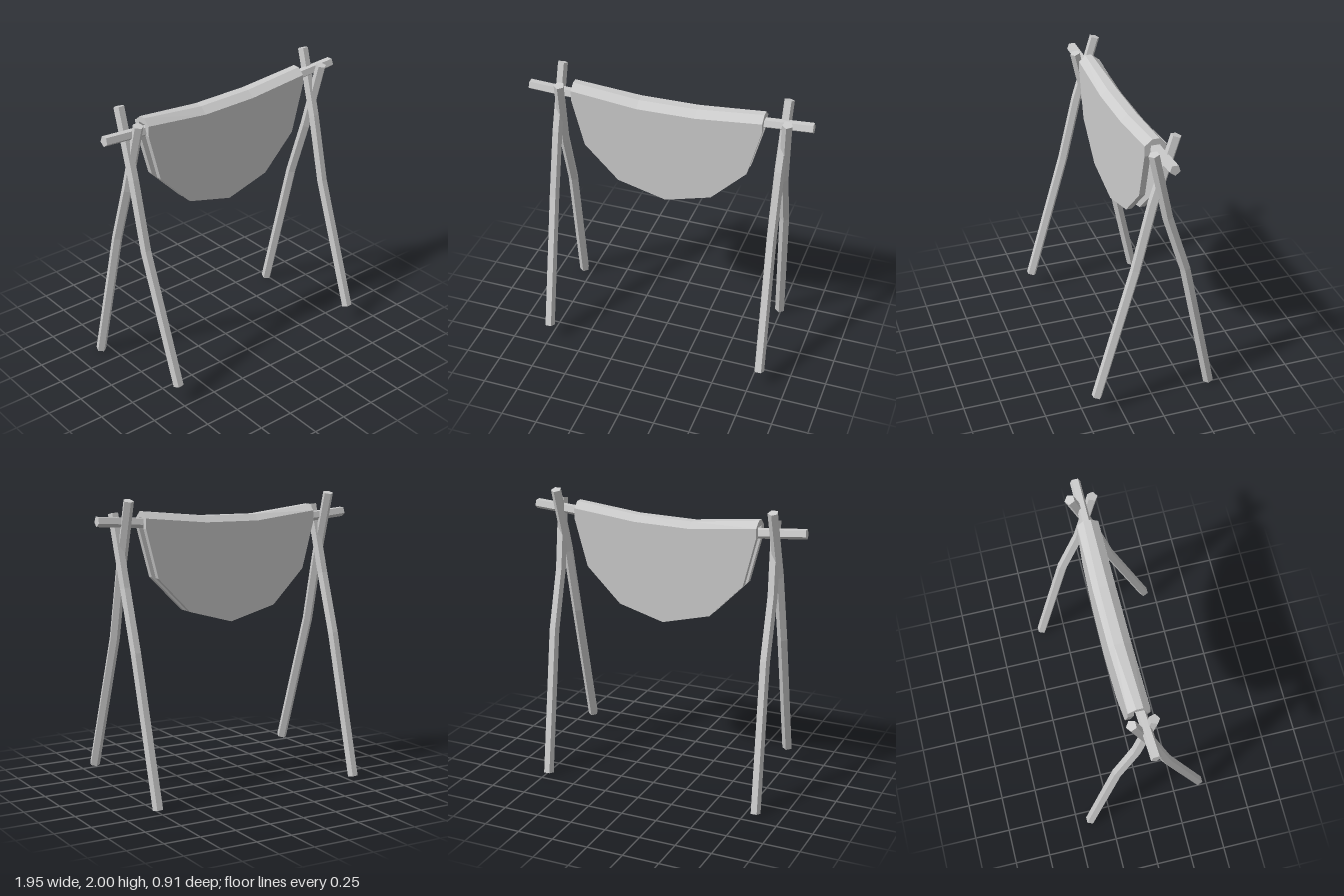
import * as THREE from 'three';

const material = new THREE.MeshStandardMaterial({ color: 0xcccccc, flatShading: true });

// Closed solid skinned through convex rings that turn counter-clockwise about the path
function loft(rings) {
  const pos = [];
  const tri = (a, b, c) => pos.push(...a.toArray(), ...b.toArray(), ...c.toArray());
  const n = rings[0].length;
  for (let r = 0; r < rings.length - 1; r++) {
    const a = rings[r], b = rings[r + 1];
    for (let i = 0; i < n; i++) {
      const j = (i + 1) % n;
      tri(a[i], a[j], b[j]);
      tri(a[i], b[j], b[i]);
    }
  }
  const first = rings[0], last = rings[rings.length - 1];
  for (let i = 1; i < n - 1; i++) {
    tri(first[0], first[i + 1], first[i]);
    tri(last[0], last[i], last[i + 1]);
  }
  const geometry = new THREE.BufferGeometry();
  geometry.setAttribute('position', new THREE.Float32BufferAttribute(pos, 3));
  geometry.computeVertexNormals();
  return geometry;
}

// Bent five-sided pole along a list of points
function pole(name, path, radius, side, phase) {
  const pts = path.map(p => new THREE.Vector3(...p));
  const rings = pts.map((p, k) => {
    const t = pts[Math.min(k + 1, pts.length - 1)].clone().sub(pts[Math.max(k - 1, 0)]).normalize();
    const u = side.clone().addScaledVector(t, -side.dot(t)).normalize();
    const v = t.clone().cross(u);
    return Array.from({ length: 5 }, (_, i) => {
      const a = phase + i * Math.PI * 2 / 5;
      return p.clone().addScaledVector(u, radius * Math.cos(a)).addScaledVector(v, radius * Math.sin(a));
    });
  });
  return part(name, loft(rings));
}

function part(name, geometry) {
  const mesh = new THREE.Mesh(geometry, material);
  mesh.name = name;
  return mesh;
}

// Two crossed legs, standing around x = 0
function trestle(name) {
  const group = new THREE.Group();
  group.name = name;
  const xAxis = new THREE.Vector3(1, 0, 0);
  group.add(
    pole('frontLeg', [[0.035, 0.13, 0.42], [0, 1.06, 0.14], [0, 1.53, 0.03], [0.005, 1.99, -0.11]], 0.036, xAxis, Math.PI / 2),
    pole('backLeg', [[-0.035, 0.01, -0.41], [0.005, 1.01, -0.195], [0.012, 1.42, -0.065], [0.04, 1.9, 0.045]], 0.036, xAxis, -Math.PI / 2));
  return group;
}

// Half of the hide: a thick plate hanging below the crease line
function flap(name, zOuter, depth, lean) {
  const outline = [[-0.66, 1.87], [-0.66, 1.8], [-0.575, 1.47], [-0.34, 1.23], [0, 1.14],
    [0.32, 1.23], [0.56, 1.47], [0.65, 1.8], [0.65, 1.87], [0.2, 1.825], [-0.2, 1.82]];
  const shape = new THREE.Shape(outline.map(p => new THREE.Vector2(...p)));
  const geometry = new THREE.ExtrudeGeometry(shape, { depth, bevelEnabled: false });
  const p = geometry.attributes.position;
  for (let i = 0; i < p.count; i++) {
    p.setZ(i, p.getZ(i) + zOuter - 0.012 * p.getX(i) + lean * (1.87 - p.getY(i)));
  }
  geometry.computeVertexNormals();
  return part(name, geometry);
}

export function createModel() {
  const model = new THREE.Group();
  model.name = 'hideRack';

  // Trestles
  const right = trestle('rightTrestle');
  right.position.set(-0.78, 0, 0.01);
  const left = trestle('leftTrestle');
  left.position.set(0.775, 0, -0.01);
  model.add(right, left);

  // Crossbar
  model.add(pole('crossbar',
    [[-0.97, 1.845, 0.01], [-0.3, 1.79, -0.025], [0.3, 1.815, -0.04], [0.97, 1.86, -0.045]],
    0.036, new THREE.Vector3(0, 0, 1), 0.3));

  // Hide folded over the crossbar: [x, crease y, back z, ridge z, fold z, front z]
  const stations = [
    [-0.66, 1.87, -0.09, -0.04, 0.005, 0.05],
    [-0.2, 1.82, -0.103, -0.068, -0.005, 0.045],
    [0.2, 1.825, -0.108, -0.07, -0.01, 0.04],
    [0.65, 1.87, -0.103, -0.063, -0.015, 0.035],
  ];
  const hide = new THREE.Group();
  hide.name = 'hide';
  hide.add(
    part('hideFold', loft(stations.map(([x, y, back, ridge, fold, front]) => [
      new THREE.Vector3(x, y, back),
      new THREE.Vector3(x, y + 0.042, ridge),
      new THREE.Vector3(x, y + 0.042, fold),
      new THREE.Vector3(x, y, front),
    ]))),
    flap('frontFlap', 0.003, 0.04, 0),
    flap('backFlap', -0.102, 0.04, 0.017));
  model.add(hide);
  return model;
}
